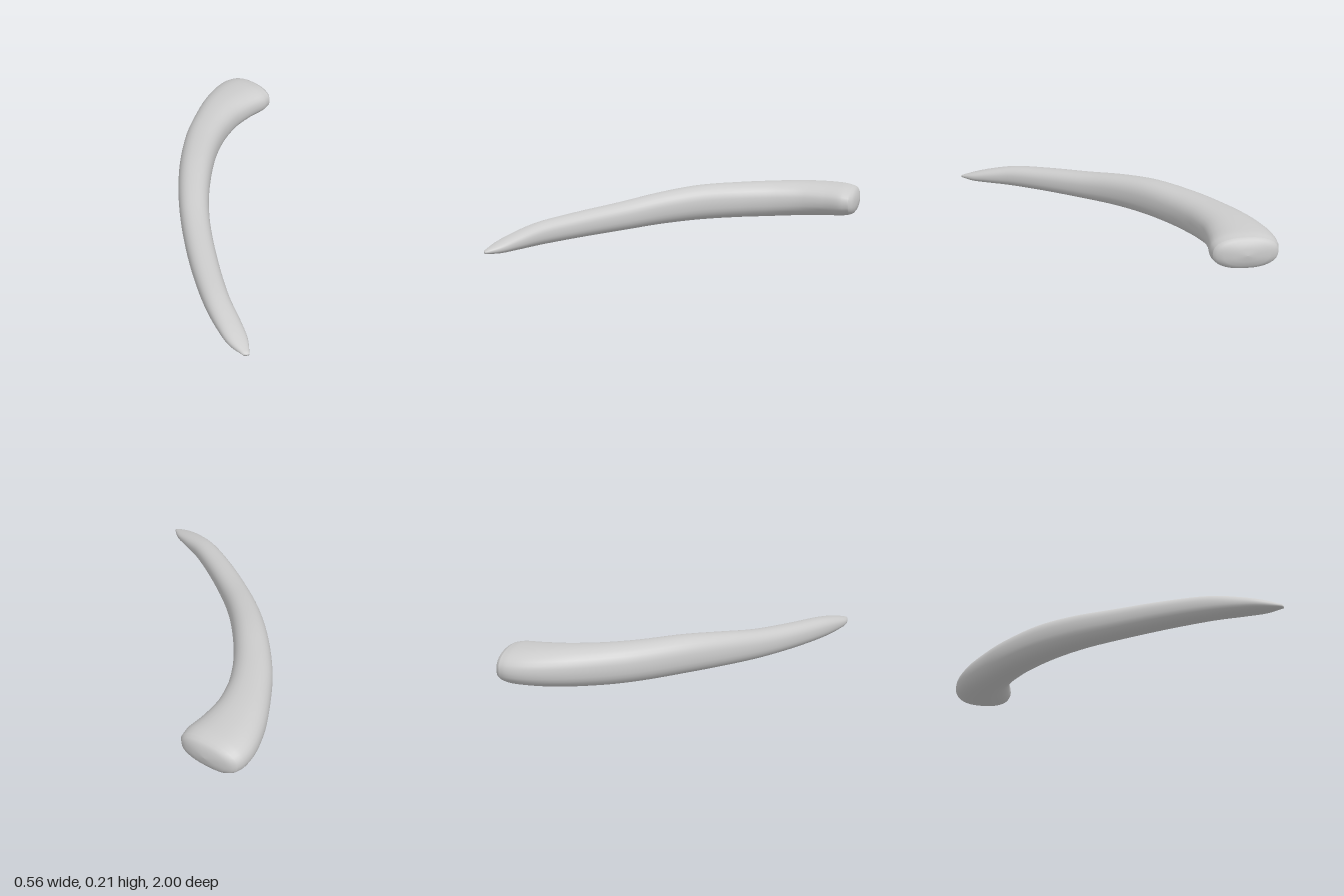
import * as THREE from 'three';

// Stations from tip to root: outer edge x, z, inner edge x, z, bottom y, top y
const STATIONS = [
  [-0.07, 0.997, -0.042, 0.997, 0.014, 0.028],
  [-0.125, 0.935, -0.04, 0.92, 0.004, 0.052],
  [-0.165, 0.85, -0.06, 0.83, 0.002, 0.077],
  [-0.208, 0.72, -0.095, 0.70, 0.002, 0.105],
  [-0.25, 0.5, -0.125, 0.48, 0.005, 0.127],
  [-0.275, 0.25, -0.14, 0.23, 0.01, 0.15],
  [-0.28, 0.03, -0.132, 0.04, 0.018, 0.178],
  [-0.263, -0.2, -0.102, -0.16, 0.023, 0.2],
  [-0.217, -0.45, -0.052, -0.36, 0.022, 0.204],
  [-0.165, -0.61, 0.005, -0.5, 0.022, 0.206],
  [-0.09, -0.79, 0.085, -0.62, 0.028, 0.208],
  [-0.01, -0.92, 0.175, -0.7, 0.036, 0.205],
  [0.05, -0.978, 0.25, -0.752, 0.042, 0.2],
  [0.085, -0.995, 0.278, -0.785, 0.05, 0.192],
];
const SIDES = 32;

// Smoothly interpolated station at t in 0..1
const curve = (k) => new THREE.CatmullRomCurve3(
  STATIONS.map((s) => new THREE.Vector3(s[k], s[k + 1], s[k + 2])), false, 'centripetal');
const edgesA = curve(0);
const edgesB = curve(3);
const stationAt = (t) => [...edgesA.getPoint(t).toArray(), ...edgesB.getPoint(t).toArray()];

// Rounded, slightly boxy cross-section between the two edges
function ring([ox, oz, ix, iz, y0, y1], scale = 1, shiftX = 0, shiftZ = 0) {
  const points = [];
  const soft = (v) => Math.sign(v) * Math.abs(v) ** 0.85;
  for (let j = 0; j < SIDES; j++) {
    const a = (j / SIDES) * Math.PI * 2;
    const u = soft(Math.cos(a)) * scale;
    const v = soft(Math.sin(a)) * scale;
    points.push(
      (ox + ix) / 2 + (u * (ix - ox)) / 2 + shiftX,
      (y0 + y1) / 2 + (v * (y1 - y0)) / 2,
      (oz + iz) / 2 + (u * (iz - oz)) / 2 + shiftZ);
  }
  return points;
}

// Skin joining consecutive rings
function loft(rings) {
  const index = [];
  for (let i = 0; i < rings.length - 1; i++) {
    for (let j = 0; j < SIDES; j++) {
      const a = i * SIDES + j;
      const b = i * SIDES + ((j + 1) % SIDES);
      index.push(a, a + SIDES, b, b, a + SIDES, b + SIDES);
    }
  }
  const geometry = new THREE.BufferGeometry();
  geometry.setAttribute('position', new THREE.Float32BufferAttribute(rings.flat(), 3));
  geometry.setIndex(index);
  geometry.computeVertexNormals();
  return geometry;
}

export function createModel() {
  const group = new THREE.Group();
  group.name = 'curvedTusk';
  const material = new THREE.MeshStandardMaterial({ color: 0xcccccc });
  const add = (name, geometry) => {
    const mesh = new THREE.Mesh(geometry, material);
    mesh.name = name;
    group.add(mesh);
  };

  // Curved shaft, closed to a blunt point at the tip
  const shaft = [ring(stationAt(0), 0.001, 0, 0.003)];
  const steps = 65;
  for (let i = 0; i <= steps; i++) shaft.push(ring(stationAt(i / steps)));
  add('shaft', loft(shaft));

  // Gently domed end face at the wide root
  const root = STATIONS[STATIONS.length - 1];
  const dome = [1, 0.9, 0.7, 0.4, 0.001].map((s) => {
    const bulge = 0.035 * Math.sqrt(1 - s * s);
    return ring(root, s, bulge * 0.74, -bulge * 0.68);
  });
  add('rootFace', loft(dome));

  return group;
}
